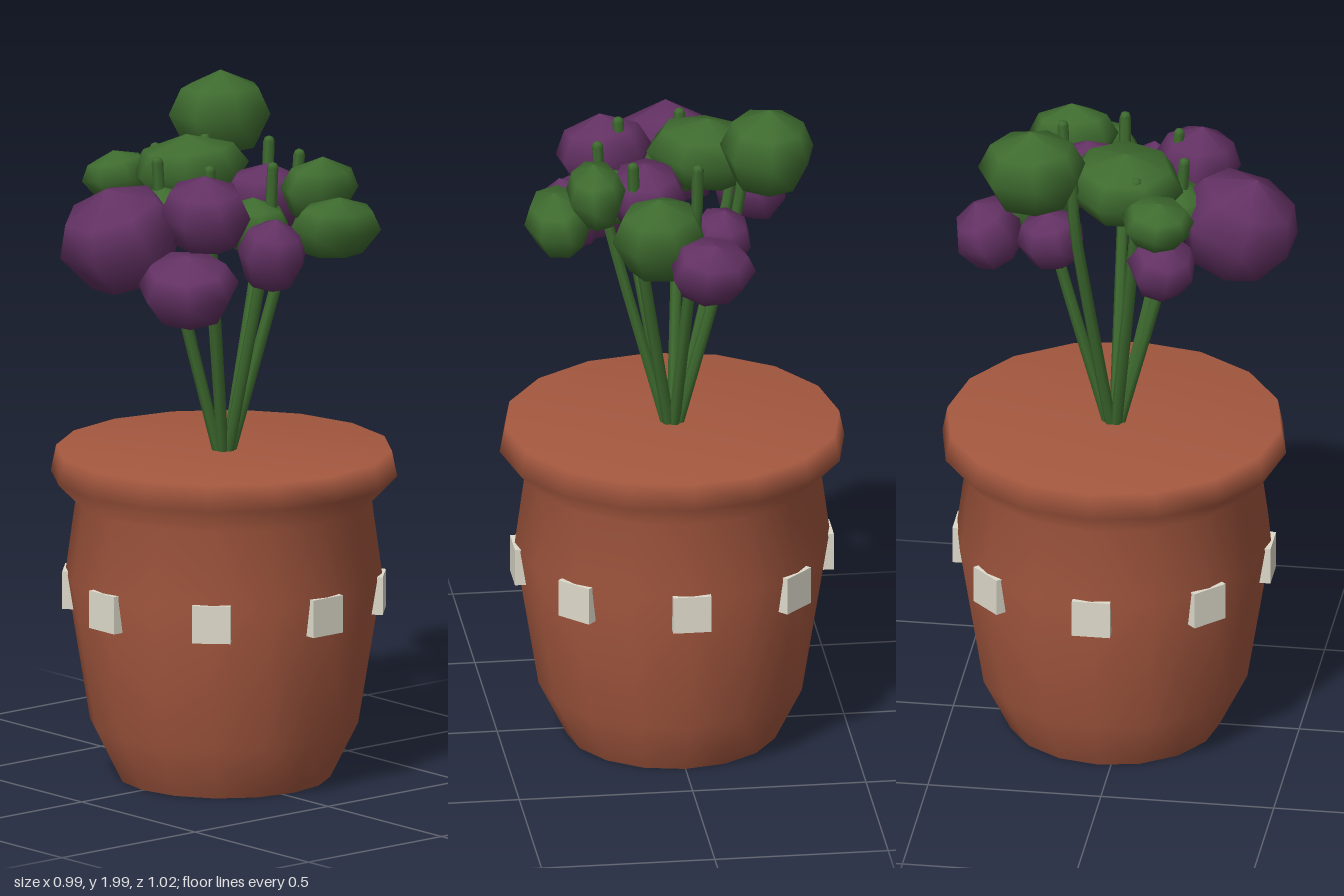
import * as THREE from 'three';

const CZ = -0.035; // pot axis

function mat(name, color) {
  const m = new THREE.MeshStandardMaterial({ color });
  m.name = name;
  return m;
}

export function createModel() {
  const model = new THREE.Group();
  const terracotta = mat('terracotta', 0xa5583f);
  const cream = mat('cream tile', 0xdedacb);
  const green = mat('leaf green', 0x3e6b2f);
  const purple = mat('purple petal', 0x623163);

  const add = (parent, name, geometry, material) => {
    const mesh = new THREE.Mesh(geometry, material);
    mesh.name = name;
    parent.add(mesh);
    return mesh;
  };

  // Sixteen-sided pot with flared rim, closed at the top by the soil surface
  const profile = [
    [0, 0], [0.305, 0], [0.305, 0], [0.385, 0.16], [0.455, 0.59], [0.425, 0.81],
    [0.497, 0.885], [0.482, 0.96], [0, 0.955],
  ].map(([r, y]) => new THREE.Vector2(r, y));
  add(model, 'pot', new THREE.LatheGeometry(profile, 16), terracotta).position.z = CZ;

  // Eight square tiles around the belly
  const tiles = new THREE.Group();
  tiles.name = 'tiles';
  tiles.position.set(0, 0.545, CZ);
  model.add(tiles);
  for (let i = 0; i < 8; i++) {
    const a = (i * Math.PI) / 4;
    const tile = add(tiles, 'tile', new THREE.BoxGeometry(0.11, 0.11, 0.04), cream);
    tile.position.set(Math.sin(a) * 0.44, 0, Math.cos(a) * 0.44);
    tile.rotation.y = a;
  }

  // Seven stems fanning out from the middle of the pot
  const stems = new THREE.Group();
  stems.name = 'stems';
  stems.position.z = CZ;
  model.add(stems);
  for (let i = 0; i < 7; i++) {
    const a = (i * Math.PI * 2) / 7;
    const path = new THREE.CatmullRomCurve3(
      [[0.015, 0.94], [0.165, 1.5], [0.205, 1.68], [0.215, 1.82]].map(
        ([r, y]) => new THREE.Vector3(Math.cos(a) * r, y, Math.sin(a) * r)));
    add(stems, 'stem', new THREE.TubeGeometry(path, 8, 0.017, 6), green);
    // closed stem tip
    add(stems, 'stemTip', new THREE.SphereGeometry(0.017, 6, 4), green)
      .position.copy(path.getPoint(1));
  }

  // Faceted bulb shape shared by leaves and blossoms
  const bulb = new THREE.LatheGeometry(
    [[0, -0.92], [0.68, -0.8], [1.02, 0], [0.78, 0.6], [0, 1]].map(
      ([r, y]) => new THREE.Vector2(r, y)), 7);

  // centre x, y, z, half sizes x, y, z, outward lean
  const leaves = [
    [-0.25, 1.87, -0.235, 0.135, 0.125, 0.155, 0.05],
    [-0.1, 1.77, 0.01, 0.17, 0.1, 0.17, 0.1],
    [-0.275, 1.74, 0.13, 0.1, 0.07, 0.105, 0.2],
    [0.065, 1.63, -0.27, 0.135, 0.13, 0.12, 0.2],
    [0.24, 1.74, -0.19, 0.085, 0.095, 0.13, 0.1],
    [0.345, 1.65, -0.16, 0.095, 0.09, 0.155, 0.15],
    [0.17, 1.65, 0.0, 0.12, 0.08, 0.1, 0],
    [-0.04, 1.67, 0.16, 0.11, 0.08, 0.1, 0.1],
  ];
  const blossoms = [
    [-0.03, 1.63, 0.33, 0.18, 0.155, 0.18, 0.35],
    [0.2, 1.51, 0.27, 0.155, 0.105, 0.14, 0.25],
    [0.17, 1.71, 0.18, 0.14, 0.115, 0.125, 0.15],
    [0.085, 1.7, -0.12, 0.115, 0.1, 0.14, 0.1],
    [-0.07, 1.57, -0.39, 0.125, 0.1, 0.1, 0.4],
    [-0.12, 1.59, -0.2, 0.09, 0.09, 0.1, 0.2],
    [0.29, 1.59, 0.03, 0.1, 0.11, 0.1, 0.25],
    [-0.25, 1.59, 0.14, 0.11, 0.09, 0.1, 0.3],
  ];

  const addBulbs = (groupName, name, list, material) => {
    const group = new THREE.Group();
    group.name = groupName;
    model.add(group);
    list.forEach(([x, y, z, sx, sy, sz, lean], i) => {
      // turn each bulb differently, then size it and lean it away from the centre
      const geometry = bulb.clone().rotateY(i * 1.3 + 0.4).scale(sx, sy, sz);
      const mesh = add(group, name, geometry, material);
      mesh.position.set(x, y, z);
      const axis = new THREE.Vector3(z - CZ, 0, -x).normalize();
      mesh.quaternion.setFromAxisAngle(axis, lean);
    });
  };
  addBulbs('leaves', 'leaf', leaves, green);
  addBulbs('blossoms', 'blossom', blossoms, purple);

  return model;
}
